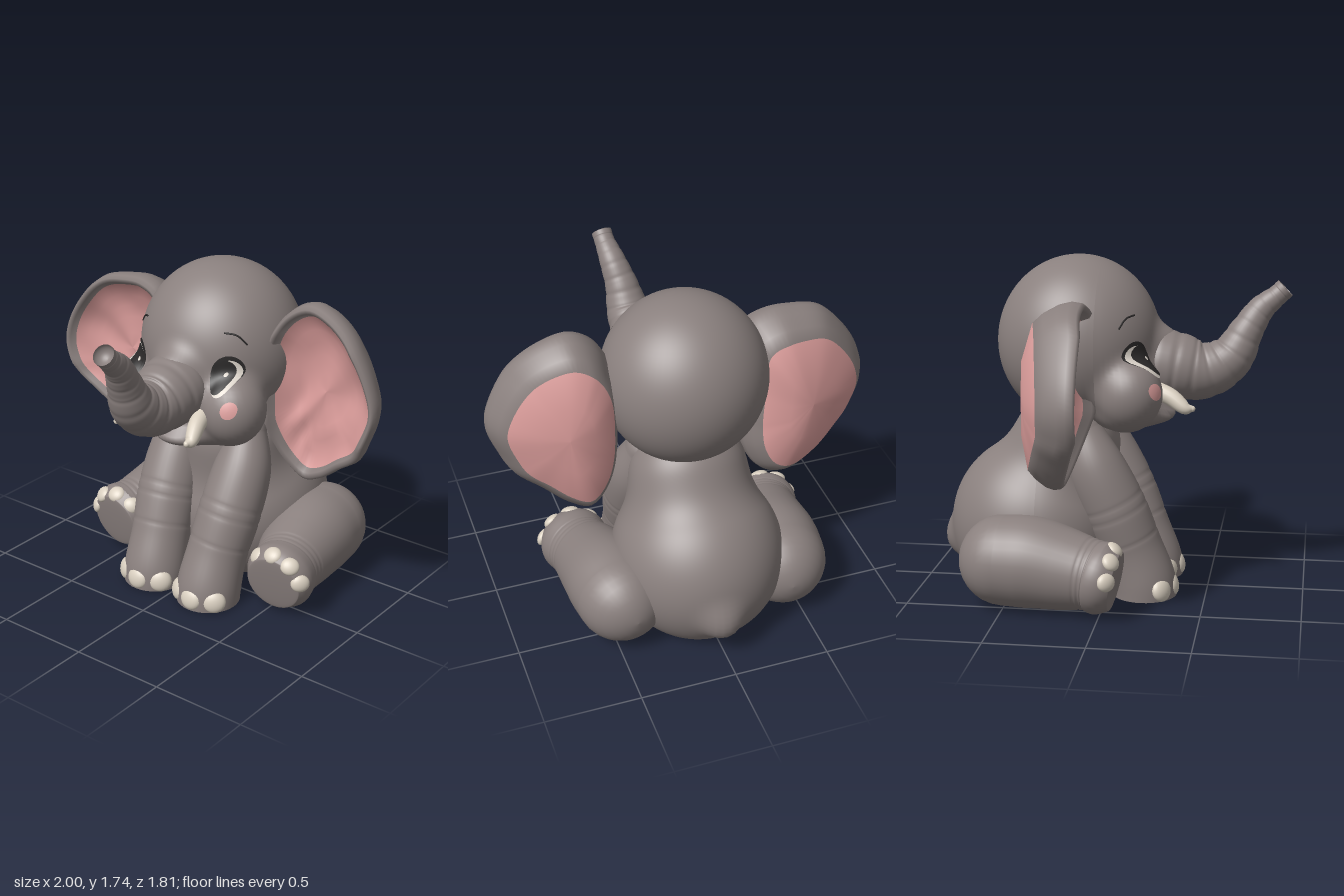
import * as THREE from 'three';

const V = (x, y, z) => new THREE.Vector3(x, y, z);
const paint = (name, color) => {
  const m = new THREE.MeshStandardMaterial({ color });
  m.name = name;
  return m;
};

// Joins rings of points into a closed skin, wound so that it faces outwards
function skin(rings) {
  const n = rings[0].length, pos = [], idx = [];
  for (const ring of rings) for (const p of ring) pos.push(p.x, p.y, p.z);
  for (let j = 0; j < rings.length - 1; j++) {
    for (let i = 0; i < n; i++) {
      const a = j * n + i, b = j * n + (i + 1) % n;
      idx.push(a, b, a + n, b, b + n, a + n);
    }
  }
  const flat = rings.flat();
  let volume = 0;
  for (let i = 0; i < idx.length; i += 3) {
    volume += flat[idx[i]].dot(flat[idx[i + 1]].clone().cross(flat[idx[i + 2]]));
  }
  if (volume < 0) {
    for (let i = 0; i < idx.length; i += 3) [idx[i], idx[i + 1]] = [idx[i + 1], idx[i]];
  }
  const g = new THREE.BufferGeometry();
  g.setAttribute('position', new THREE.Float32BufferAttribute(pos, 3));
  g.setIndex(idx);
  g.computeVertexNormals();
  return g;
}

// Round limb through sections [x, y, z, radius]; caps are dome heights, a negative one is hollow
function sweep(sections, cap0, cap1, ripple = () => 1, steps = 40, sides = 36) {
  const path = new THREE.CatmullRomCurve3(sections.map(s => V(s[0], s[1], s[2])), false, 'catmullrom');
  const girth = new THREE.CatmullRomCurve3(sections.map(s => V(s[3], 0, 0)), false, 'catmullrom');
  const rings = [];
  const ring = (t, push, shrink) => {
    const T = path.getTangent(t), r = girth.getPoint(t).x * ripple(t);
    const X = V(1, 0, 0).addScaledVector(T, -T.x).normalize(), Y = T.clone().cross(X);
    const c = path.getPoint(t).addScaledVector(T, push * r);
    rings.push(Array.from({ length: sides }, (_, i) => {
      const a = i / sides * Math.PI * 2;
      const p = c.clone().addScaledVector(X, Math.cos(a) * r * shrink).addScaledVector(Y, Math.sin(a) * r * shrink);
      p.y = Math.max(0, p.y);
      return p;
    }));
  };
  for (let k = 8; k > 0; k--) ring(0, -cap0 * Math.sin(k * Math.PI / 16), Math.cos(k * Math.PI / 16));
  for (let k = 0; k <= steps; k++) ring(k / steps, 0, 1);
  for (let k = 1; k <= 8; k++) ring(1, cap1 * Math.sin(k * Math.PI / 16), Math.cos(k * Math.PI / 16));
  return skin(rings);
}

// Distance to softly merged ellipsoids [x, y, z, rx, ry, rz]
const merged = (blobs, k) => p => blobs.reduce((d, [x, y, z, a, b, c]) => {
  const q = V((p.x - x) / a, (p.y - y) / b, (p.z - z) / c), l = q.length();
  const e = l * (l - 1) / Math.max(1e-6, V(q.x / a, q.y / b, q.z / c).length());
  const h = Math.max(k - Math.abs(d - e), 0) / k;
  return Math.min(d, e) - h * h * k / 4;
}, 10);

// Walks from a point along a direction until it meets the surface
function trace(field, from, dir) {
  const p = from.clone();
  for (let i = 0; i < 70; i++) p.addScaledVector(dir, field(p) * 0.6);
  return p;
}

// Shrinks a sphere onto the merged ellipsoids
function wrap(field, center) {
  const g = new THREE.SphereGeometry(1, 96, 72), P = g.attributes.position;
  for (let i = 0; i < P.count; i++) {
    const d = V().fromBufferAttribute(P, i).normalize();
    const p = trace(field, center.clone().addScaledVector(d, 1.2), d.clone().negate());
    P.setXYZ(i, p.x, Math.max(0, p.y), p.z);
  }
  g.computeVertexNormals();
  return g;
}

// Ear: the outline is scaled along a cupped front and a bulging back, with folds fanning from the jaw
const EAR = [[0, -.2], [.2, -.2], [.4, -.193], [.55, -.18], [.7, -.155], [.86, -.105], [.9, -.065], [.95, -.05],
  [.985, -.065], [1, -.11], [.97, -.17], [.88, -.25], [.78, -.305], [.4, -.36], [0, -.37]];
function ear(outline, cx, cy) {
  const loop = new THREE.CatmullRomCurve3(outline.map(p => V(p[0], p[1], 0)), true), n = 96;
  const g = skin(EAR.map(([s, depth], j) => Array.from({ length: n }, (_, i) => {
    const o = loop.getPointAt(i / n), x = cx + (o.x - cx) * s, y = cy + (o.y - cy) * s;
    const low = Math.max(0, 0.98 - y), high = Math.max(0, y - 1.45);
    const scale = (1.1 - 0.8 * Math.max(0, Math.abs(x) - 0.5)) * (1 - 0.9 * low - 0.5 * high);
    const fan = Math.atan2(y - 0.6, Math.abs(x) - 0.2);
    const fold = j < 5 ? 0.009 * Math.sin(fan * 22) : 0;
    return V(x, y, -.05 + (depth + .05) * scale + fold - 0.38 * low - 0.25 * high);
  })));
  g.addGroup(0, 5 * n * 6, 1);
  g.addGroup(5 * n * 6, 7 * n * 6, 0);
  g.addGroup(12 * n * 6, 2 * n * 6, 1);
  return g;
}

export function createModel() {
  const model = new THREE.Group();
  model.name = 'sittingElephant';
  const grey = paint('grey skin', 0x8a807e), pink = paint('pink skin', 0xdfa09e), cream = paint('ivory', 0xd9cfc0);
  const dark = paint('eye black', 0x2b2929), white = paint('eye white', 0xdcd4ca);
  const add = (name, geometry, material) => {
    const m = new THREE.Mesh(geometry, material);
    m.name = name;
    model.add(m);
    return m;
  };
  const ball = (name, material, x, y, z, a, b, c) => {
    const m = add(name, new THREE.SphereGeometry(1, 24, 16), material);
    m.position.set(x, y, z);
    m.scale.set(a, b, c);
    return m;
  };
  // Flattened ball that faces a given direction
  const toenail = (name, x, y, z, a, b, c, facing) =>
    ball(name, cream, x, y, z, a, b, c).quaternion.setFromUnitVectors(V(0, 0, 1), facing.normalize());

  // Body with a tail stub
  const torso = merged([[0, .33, -.4, .45, .46, .46], [0, .75, -.25, .31, .3, .28], [.01, .22, -.84, .06, .07, .055]], .13);
  add('body', wrap(torso, V(0, .5, -.35)), grey);
  ball('tailTip', grey, .01, .2, -.875, .025, .035, .025);

  // Head with cheeks, bridge, snout, jaw and lower lip
  const face = merged([[0, 1.3, -.18, .425, .44, .42],
    [.283, 1.09, .11, .17, .185, .17], [-.262, 1.07, .11, .168, .185, .17],
    [.02, 1.29, .14, .13, .11, .2], [.02, 1.17, .14, .19, .19, .2],
    [.01, .96, .06, .335, .122, .18], [.02, .925, .21, .14, .055, .11]], .06);
  add('head', wrap(face, V(0, 1.15, -.05)), grey);

  // Trunk with wrinkle rings and a hollow tip
  const wrinkle = t => 1 - 0.03 * Math.pow(Math.abs(Math.cos(t * Math.PI * 13)), 8) * (t < 0.93 ? 1 : 0);
  add('trunk', sweep([[.015, 1.2, .1, .19], [.02, 1.17, .3, .18], [.03, 1.15, .47, .147], [.045, 1.22, .6, .118],
    [.06, 1.35, .675, .088], [.085, 1.46, .745, .07], [.1, 1.53, .825, .055], [.105, 1.572, .87, .054]],
    0, -.9, wrinkle, 150), grey);

  // Ears
  add('leftEar', ear([[.36, 1.4], [.45, 1.57], [.57, 1.64], [.7, 1.61], [.84, 1.51], [.96, 1.32], [1, 1.17], [.95, 1],
    [.89, .89], [.76, .79], [.63, .69], [.52, .65], [.43, .73], [.36, .89], [.34, 1.15]], .64, 1.17), [grey, pink]);
  add('rightEar', ear([[-.34, 1.5], [-.45, 1.56], [-.58, 1.56], [-.74, 1.52], [-.89, 1.37], [-.98, 1.21], [-1, 1.08], [-.94, .93],
    [-.84, .83], [-.68, .7], [-.5, .63], [-.39, .67], [-.32, .79], [-.3, .95], [-.31, 1.2]], -.63, 1.1), [grey, pink]);

  // Thin painted disc that follows the face
  const onFace = (x, y, lift) => {
    const p = trace(face, V(x, y, .8), V(0, 0, -1));
    p.z += lift;
    return p;
  };
  const disc = (name, material, x, y, rx, ry, lift) => {
    const g = new THREE.RingGeometry(0, 1, 36, 6), P = g.attributes.position;
    for (let i = 0; i < P.count; i++) {
      const p = onFace(x + P.getX(i) * rx, y + P.getY(i) * ry, lift);
      P.setXYZ(i, p.x, p.y, p.z);
    }
    g.computeVertexNormals();
    add(name, g, material);
  };

  for (const [side, s] of [['left', 1], ['right', -1]]) {
    const drop = s < 0 ? -.035 : 0, shift = s < 0 ? .02 : 0;

    // Face details
    disc(side + 'EyeLash', dark, s * .274, 1.29 + drop, .066, .086, .006);
    disc(side + 'EyeWhite', white, s * .28, 1.276 + drop, .057, .08, .011);
    disc(side + 'Iris', dark, s * .267, 1.282 + drop, .05, .075, .016);
    disc(side + 'EyeGlint', white, s * .266 + .016, 1.29 + drop, .009, .01, .02);
    disc(side + 'Blush', pink, s * .362 + shift / 2, 1.145 + drop * 1.2, .037, .042, .009);
    const brow = [[.235, 1.485], [.285, 1.472], [.33, 1.425]].map(([x, y]) => onFace(s * x, y + drop / 2, .002));
    add(side + 'Brow', new THREE.TubeGeometry(new THREE.CatmullRomCurve3(brow), 12, .005, 6), dark);
    add(side + 'Tusk', sweep([[s * .18 + shift, 1.09, .2, .045], [s * .21 + shift, 1.05, .31, .044],
      [s * .235 + shift, 1.0, .385, .034], [s * .235 + shift, .995, .425, .016]], 0, 1, undefined, 16, 20), cream);

    // Front leg with knee creases and three toenails
    const x = s * .185 + shift / 2;
    const knee = t => 1 - [.37, .42, .55].reduce((a, c) => a + .018 * Math.exp(-(((t - c) / .008) ** 2)), 0);
    add(side + 'FrontLeg', sweep([[x + s * .01, .87, -.14, .1], [x + s * .032, .68, -.07, .15], [x + s * .025, .46, .03, .165],
      [x + s * .008, .25, .115, .16], [x, .07, .175, .17], [x, -.06, .185, .165]], 1, .1, knee, 100), grey);
    for (const a of [-.8, 0, .8]) {
      toenail(side + 'FrontToenail', x + Math.sin(a) * .16, .057, .18 + Math.cos(a) * .148, .062, .06, .034,
        V(Math.sin(a * .75), .25, Math.cos(a * .75)));
    }

    // Hind leg stretched forwards with four toenails on the rounded edge of the sole
    const z = s < 0 ? -.035 : 0, hx = v => s * v + shift / 2;
    const ankle = t => 1 - [.55, .59, .64].reduce((a, c) => a + .018 * Math.exp(-(((t - c) / .008) ** 2)), 0);
    add(side + 'HindLeg', sweep([[hx(.45), .235, -.5, .232], [hx(.465), .235, -.36, .235], [hx(.495), .215, -.19, .21],
      [hx(.53), .2, -.04, .18], [hx(.546), .19, .05 + z, .185], [hx(.552), .178, .115 + z, .152]], 1, .06, ankle, 100), grey);
    for (const deg of [132, 92, 52, 14]) {
      const a = deg * Math.PI / 180;
      toenail(side + 'HindToenail', hx(.55 + Math.cos(a) * .157), .183 + Math.sin(a) * .157,
        .082 + z + Math.sin(a) * .028, .05, .046, .028, V(s * Math.cos(a), Math.sin(a), .9));
    }
  }
  return model;
}
